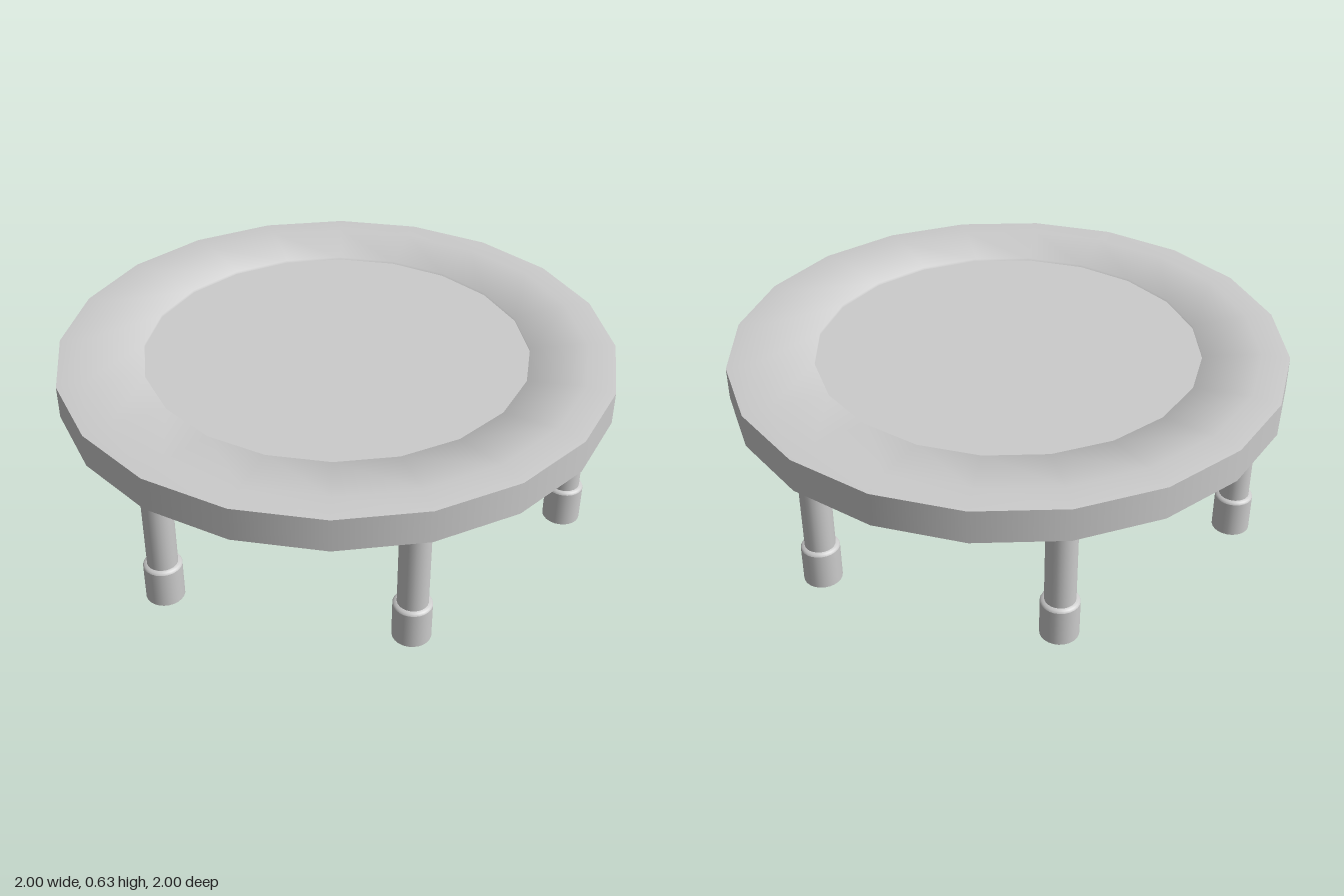
import * as THREE from 'three';

const SIDES = 20;
const grey = new THREE.MeshStandardMaterial({ color: 0xcccccc });

const mesh = (geometry, name) => {
  const m = new THREE.Mesh(geometry, grey);
  m.name = name;
  return m;
};

const lathe = (points, sides) =>
  new THREE.LatheGeometry(points.map(([r, y]) => new THREE.Vector2(r, y)), sides);

// Leg: a post with a slightly wider, bevelled foot cap
function makeLeg(x, z) {
  const leg = new THREE.Group();
  leg.name = 'leg';

  const post = mesh(new THREE.CylinderGeometry(0.053, 0.053, 0.42, 24), 'legPost');
  post.position.y = 0.31;

  const foot = new THREE.Group();
  foot.name = 'footCap';
  const sleeve = mesh(new THREE.CylinderGeometry(0.067, 0.067, 0.135, 24), 'footSleeve');
  sleeve.position.y = 0.0675;
  const bevel = mesh(lathe([[0.067, 0.135], [0.063, 0.143], [0.052, 0.146]], 24), 'footBevel');
  foot.add(sleeve, bevel);

  leg.add(post, foot);
  leg.position.set(x, 0, z);
  return leg;
}

export function createModel() {
  const model = new THREE.Group();
  model.name = 'trampoline';

  // Padded rim: upright outer wall, softly sloping top, inner lip and underside
  const rim = new THREE.Group();
  rim.name = 'rimPad';
  rim.add(
    mesh(lathe([[1, 0.5], [1, 0.62]], SIDES), 'rimOuterWall'),
    mesh(lathe([
      [1, 0.62], [0.9, 0.628], [0.695, 0.606],
      [0.695, 0.513], [0.9, 0.491], [1, 0.5],
    ], SIDES), 'rimPadding'),
  );
  model.add(rim);

  // Jumping mat, set just below the lip of the rim on both sides
  const mat = mesh(new THREE.CylinderGeometry(0.7, 0.7, 0.074, SIDES), 'jumpingMat');
  mat.position.y = 0.559;
  model.add(mat);

  // Six legs spaced evenly under the rim
  for (let i = 0; i < 6; i++) {
    const a = (i * Math.PI) / 3;
    model.add(makeLeg(Math.sin(a) * 0.862 - 0.004, Math.cos(a) * 0.862 + 0.006));
  }

  return model;
}
